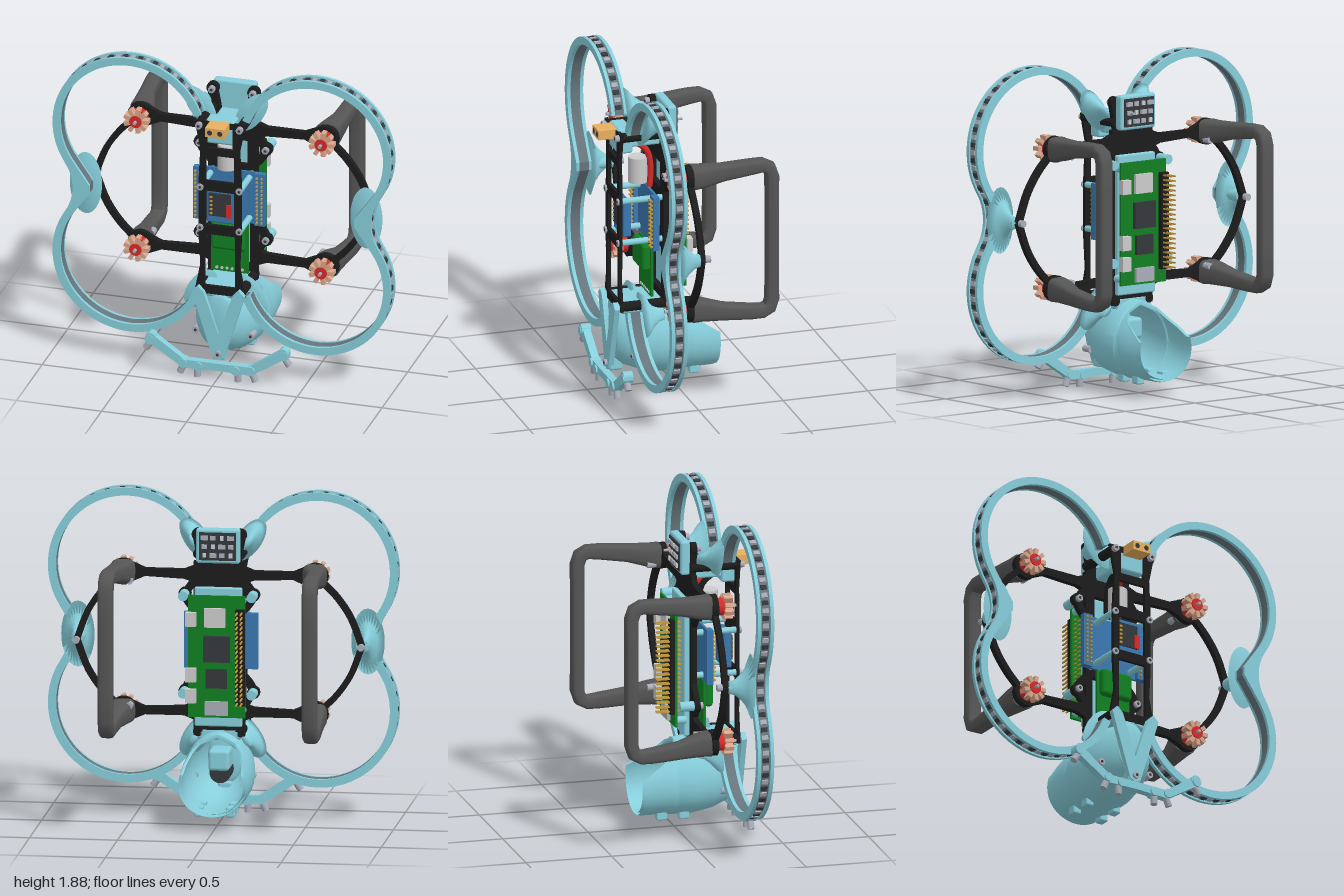
import * as THREE from 'three';
import { toCreasedNormals } from 'three/addons/utils/BufferGeometryUtils.js';
import { RoundedBoxGeometry } from 'three/addons/geometries/RoundedBoxGeometry.js';

const mat = (color, side = THREE.FrontSide) => new THREE.MeshStandardMaterial({ color, side });
const BLUE = mat(0x87cedb), SHELL = mat(0x87cedb, THREE.DoubleSide), BLACK = mat(0x1c1c1c);
const GRIP = mat(0x555555, THREE.DoubleSide), RED = mat(0xd62a2a), COPPER = mat(0xd9a58a);
const GREEN = mat(0x118022), BOARD = mat(0x3a78b0), GOLD = mat(0xc79a3a), ORANGE = mat(0xe8b060);
const STEEL = mat(0xa9acb8), WHITE = mat(0xdedede), DARK = mat(0x35383c), STRIP = mat(0x66757c);
const MID = 1.033, MX = 0.545, MY = 0.397; // arm symmetry height, motor offsets
const V2 = (x, y) => new THREE.Vector2(x, y), V3 = (x, y, z) => new THREE.Vector3(x, y, z);

export function createModel() {
  const root = new THREE.Group();
  const add = (name, geo, m, x = 0, y = 0, z = 0) => {
    const o = new THREE.Mesh(geo, m);
    o.name = name;
    o.position.set(x, y, z);
    root.add(o);
    return o;
  };
  const box = (name, m, x, y, z, w, h, d) => add(name, new THREE.BoxGeometry(w, h, d), m, x, y, z);
  const rbox = (name, m, x, y, z, w, h, d, r) => add(name, new RoundedBoxGeometry(w, h, d, 2, r), m, x, y, z);
  // Cylinder along z from z0 to z1
  const rod = (name, m, x, y, z0, z1, r, n = 20) =>
    add(name, new THREE.CylinderGeometry(r, r, z1 - z0, n).rotateX(Math.PI / 2), m, x, y, (z0 + z1) / 2);
  const bolt = (x, y, z0, z1) => {
    rod('bolt', STEEL, x, y, z0, z1, 0.02, 14);
    rod('boltSocket', DARK, x, y, z1, z1 + 0.002, 0.009, 6);
  };
  // Flat plate from outline points, with optional holes
  const plate = (name, m, pts, z0, z1, holes = []) => {
    const s = new THREE.Shape(pts);
    holes.forEach(h => s.holes.push(new THREE.Path(h)));
    const g = new THREE.ExtrudeGeometry(s, { depth: z1 - z0, bevelEnabled: false });
    return add(name, toCreasedNormals(g, 0.5), m, 0, 0, z0);
  };
  const rect = (x, y, w, h) => [V2(x - w / 2, y - h / 2), V2(x + w / 2, y - h / 2), V2(x + w / 2, y + h / 2), V2(x - w / 2, y + h / 2)];
  // Flat strip of even width along a smooth curve
  const strip = (name, m, pts, w, z0, z1, n = 14) => {
    const c = new THREE.SplineCurve(pts), a = [], b = [];
    for (let i = 0; i <= n; i++) {
      const p = c.getPoint(i / n), t = c.getTangent(i / n);
      a.push(V2(p.x - t.y * w / 2, p.y + t.x * w / 2));
      b.unshift(V2(p.x + t.y * w / 2, p.y - t.x * w / 2));
    }
    return plate(name, m, [...a, ...b], z0, z1);
  };
  // Skin over closed loops of points, with optional end caps
  const loft = (loops, caps = [true, true]) => {
    const n = loops[0].length, idx = [], pts = loops.flat();
    for (let i = 0; i < loops.length - 1; i++) for (let j = 0; j < n; j++) {
      const a = i * n + j, b = i * n + (j + 1) % n;
      idx.push(a, b, a + n, b, b + n, a + n);
    }
    [0, loops.length - 1].forEach((k, e) => {
      if (!caps[e]) return;
      const c = loops[k].reduce((s, p) => s.add(p), V3(0, 0, 0)).divideScalar(n);
      pts.push(c);
      for (let j = 0; j < n; j++) {
        const a = k * n + j, b = k * n + (j + 1) % n;
        e ? idx.push(a, b, pts.length - 1) : idx.push(b, a, pts.length - 1);
      }
    });
    const g = new THREE.BufferGeometry().setFromPoints(pts);
    g.setIndex(idx);
    g.computeVertexNormals();
    return toCreasedNormals(g, 0.8);
  };
  // Outer duct line, moved inward by d: upper arc, waist fillet, lower arc
  const ductLine = (s, d) => {
    const p = new THREE.Path(), q = 33.3 * Math.PI / 180, e = 160 * Math.PI / 180;
    p.absarc(MX, MID + MY, 0.45 - d, e, -q, true);
    p.absarc(1.147, MID, 0.27 + d, Math.PI - q, Math.PI + q, false);
    p.absarc(MX, MID - MY, 0.45 - d, q, -e, true);
    return p.getSpacedPoints(150).map(v => V2(v.x * s, v.y));
  };
  const innerLine = s => {
    const up = [];
    for (let i = 0; i <= 48; i++) {
      const a = (160 - 195 * i / 48) * Math.PI / 180;
      up.push(V2(s * (MX + 0.405 * Math.cos(a)), MID + MY + 0.405 * Math.sin(a)));
    }
    up.push(V2(s * 0.78, MID + 0.025));
    return [...up, ...up.map(v => V2(v.x, 2 * MID - v.y)).reverse()];
  };
  // Concave flared foot along z, wide at the duct
  const flare = (x, y, sx, r) => {
    const prof = [[0.035, 0.095], [0.045, 0.13], [0.075, 0.165], [0.115, 0.195], [r, 0.225]].map(p => V2(p[0], p[1]));
    const o = add('ductFoot', new THREE.LatheGeometry([V2(0, 0.095), ...prof, V2(0, 0.225)], 28).rotateX(Math.PI / 2).scale(1, 1, 1), SHELL, x, y, 0);
    o.scale.x = sx;
    return o;
  };

  for (const s of [1, -1]) {
    // Propeller guard with light strip
    const inner = innerLine(s).reverse();
    plate('ductRimFront', BLUE, [...ductLine(s, 0), ...inner], 0.295, 0.315);
    plate('ductRimBack', BLUE, [...ductLine(s, 0), ...inner], 0.22, 0.24);
    plate('ductWall', STRIP, [...ductLine(s, 0.012), ...inner], 0.24, 0.295);
    plate('ductLining', BLUE, [...ductLine(s, 0.03), ...inner.map(v => V2(v.x, v.y))], 0.24, 0.295);
    const line = ductLine(s, 0.009);
    for (let i = 2; i < 149; i += 2) {
      const t = line[i + 1].clone().sub(line[i - 1]);
      box('light', i % 4 ? DARK : STEEL, line[i].x, line[i].y, 0.268, 0.026, 0.012, 0.036).rotation.z = Math.atan2(t.y, t.x);
    }
    flare(s * 0.825, MID, 0.5, 0.19);
    bolt(s * 0.81, MID, 0.03, 0.06);
    rod('ductTab', BLUE, s * 0.81, MID, 0.095, 0.225, 0.035);

    // Rear handle
    const half = [[0.545, 0.4, 0.058, 0.07, 0.07], [0.55, 0.403, 0, 0.066, 0.064], [0.57, 0.42, -0.12, 0.047, 0.05],
      [0.58, 0.436, -0.28, 0.045, 0.043], [0.58, 0.44, -0.35, 0.044, 0.039], [0.58, 0.42, -0.39, 0.044, 0.039],
      [0.58, 0.37, -0.407, 0.044, 0.038], [0.58, 0.2, -0.407, 0.044, 0.037]];
    const path = [...half, ...half.map(p => [p[0], -p[1], ...p.slice(2)]).reverse()];
    const loops = path.map((p, i) => {
      const a = path[Math.max(i - 1, 0)], b = path[Math.min(i + 1, path.length - 1)];
      const l = Math.hypot(b[1] - a[1], b[2] - a[2]), ny = -(b[2] - a[2]) / l, nz = (b[1] - a[1]) / l, out = [];
      for (let k = 0; k < 24; k++) {
        const c = Math.cos(k * Math.PI / 12), d = Math.sin(k * Math.PI / 12);
        const u = Math.sign(c) * Math.abs(c) ** 0.55 * p[3], v = Math.sign(d) * Math.abs(d) ** 0.55 * p[4];
        out.push(V3(s * (p[0] + u), MID + p[1] + ny * v, p[2] + nz * v));
      }
      return out;
    });
    add('handle', loft(loops), GRIP);

    for (const k of [1, -1]) {
      const y = MID + k * MY, P = (px, dy) => V2(s * px, MID + k * dy);
      flare(s * 0.15, MID + k * 0.565, 0.5, 0.14).rotation.z = -s * k * 0.6;
      // Arm, motor mount and curved brace
      plate('arm', BLACK, [P(0.1, 0.33), P(0.2, 0.365), P(0.42, 0.375), P(0.5, 0.34), P(0.5, 0.455), P(0.42, 0.42), P(0.2, 0.42), P(0.1, 0.46)], 0.062, 0.095);
      rod('motorMount', BLACK, s * MX, y, 0.062, 0.097, 0.075, 28);
      strip('armBrace', BLACK, [P(0.58, 0.37), P(0.67, 0.28), P(0.75, 0.16), P(0.81, 0)], 0.035, 0.062, 0.095);
      // Motor with stator teeth
      rod('motorBase', RED, s * MX, y, 0.095, 0.14, 0.05);
      rod('motorHub', RED, s * MX, y, 0.14, 0.192, 0.036);
      rod('motorShaft', STEEL, s * MX, y, 0.19, 0.215, 0.01, 10);
      for (let i = 0; i < 9; i++) {
        const a = i * Math.PI * 2 / 9;
        box('statorTooth', COPPER, s * MX + 0.051 * Math.cos(a), y + 0.051 * Math.sin(a), 0.16, 0.045, 0.024, 0.05).rotation.z = a;
      }
      bolt(s * 0.5, MID + k * 0.36, -0.02, 0.03);
      // Frame ears, spacers and bolts
      rod('frameEar', BLACK, s * 0.195, MID + k * 0.28, 0.062, 0.095, 0.036);
      rod('earSpacer', BLUE, s * 0.195, MID + k * 0.28, -0.02, 0.062, 0.028);
      strip('earLink', BLACK, [P(0.12, 0.17), P(0.19, 0.27), P(0.12, 0.38)], 0.045, 0.062, 0.095);
      bolt(s * 0.195, MID + k * 0.28, 0.095, 0.115);
      rod('standoff', BLACK, s * 0.12, MID + k * 0.51, 0.06, 0.35, 0.028);
      bolt(s * 0.12, MID + k * 0.51, 0.35, 0.375);
      rod('boardSpacer', BLUE, s * 0.115, MID + k * 0.125, 0.095, 0.33, 0.018);
      bolt(s * 0.115, MID + k * 0.125, 0.35, 0.36);
    }
    strip('topProng', BLACK, [V2(s * 0.1, 1.4), V2(s * 0.1, 1.52), V2(s * 0.125, 1.66)], 0.055, 0.062, 0.095);
    rod('prongEnd', BLACK, s * 0.12, 1.655, 0.062, 0.095, 0.036);
    bolt(s * 0.12, 1.655, 0.095, 0.12);
    // Pin headers of the middle board
    box('pinHeader', BOARD, s * 0.18, MID, 0.16, 0.06, 0.32, 0.03);
    for (let i = 0; i < 12; i++) for (const dx of [0.167, 0.195]) box('headerPin', GOLD, s * dx, 0.895 + i * 0.025, 0.18, 0.01, 0.01, 0.02);
    // Lower strap, landing bar half and its bolts
    plate('strapLeg', BLUE, [V2(s * 0.155, 0.52), V2(s * 0.12, 0.555), V2(s * 0.085, 0.52), V2(0, 0.27), V2(0, 0.11), V2(s * 0.035, 0.13)], 0.355, 0.385);
    plate('landingBar', BLUE, [V2(0, 0.055), V2(s * 0.2, 0.05), V2(s * 0.41, 0.185), V2(s * 0.385, 0.235), V2(s * 0.19, 0.1), V2(0, 0.1)], 0.365, 0.41);
    rod('barEnd', BLUE, s * 0.39, 0.21, 0.36, 0.415, 0.03);
    for (const [x, y, a] of [[0.405, 0.16, 0.6], [0.21, 0.04, 0.4], [0.12, 0.03, 0]]) {
      const o = add('barFoot', new THREE.CylinderGeometry(0.02, 0.02, 0.06, 12), STEEL, s * x, y, 0.39);
      o.rotation.z = s * a;
      rod('barBoss', BLUE, s * (x - 0.01), y + 0.04, 0.36, 0.42, 0.026);
    }
    bolt(s * 0.162, 0.235, 0.23, 0.29);
  }

  // Rear and front frame plates
  plate('rearPlate', BLACK, rect(0, 1.0, 0.29, 1.0), 0.062, 0.095, [rect(0, 1.28, 0.17, 0.15), rect(0, MID, 0.17, 0.2), rect(0, 0.72, 0.2, 0.26)]);
  plate('frontPlate', BLACK, [V2(-0.15, 0.5), V2(0.15, 0.5), V2(0.115, 0.68), V2(0.125, 0.85), V2(0.125, 1.2), V2(0.115, 1.4), V2(0.15, 1.57),
    V2(-0.15, 1.57), V2(-0.115, 1.4), V2(-0.125, 1.2), V2(-0.125, 0.85), V2(-0.115, 0.68)], 0.33, 0.35,
    [rect(0, MID, 0.17, 0.21), rect(0, 0.71, 0.18, 0.32), rect(0, 1.28, 0.17, 0.16), rect(0, 1.47, 0.15, 0.13)]);

  // Middle board with chips
  box('middleBoard', BOARD, 0, MID, 0.145, 0.42, 0.32, 0.015);
  rbox('sensorCase', BOARD, 0, MID, 0.29, 0.18, 0.21, 0.05, 0.01);
  box('sensorChip', DARK, -0.01, MID + 0.01, 0.318, 0.13, 0.14, 0.01);
  box('sensorSwitch', RED, 0.045, MID - 0.02, 0.326, 0.03, 0.08, 0.012);
  for (let i = 0; i < 5; i++) box('sensorPad', GOLD, -0.06, 0.99 + i * 0.025, 0.325, 0.016, 0.012, 0.006);

  // Lower front board
  box('lowerBoard', GREEN, 0, 0.715, 0.15, 0.22, 0.31, 0.015);
  rbox('lowerModule', GREEN, 0, 0.79, 0.18, 0.2, 0.16, 0.05, 0.02);
  for (let i = 0; i < 6; i++) rod('lowerPad', WHITE, -0.075 + i * 0.03, 0.58, 0.157, 0.162, 0.009, 10);

  // Capacitor, power wires and connector
  add('capacitor', new THREE.CylinderGeometry(0.055, 0.055, 0.15, 24), WHITE, 0, 1.3, 0.2);
  [[0.03, RED], [-0.03, BLACK]].forEach(([x, m]) => add('powerWire', new THREE.TubeGeometry(new THREE.CatmullRomCurve3(
    [V3(x, 1.2, 0.14), V3(x, 1.32, 0.135), V3(x, 1.42, 0.16), V3(x, 1.5, 0.26)]), 20, 0.018, 8), m));
  rbox('connectorHolder', BLUE, 0, 1.505, 0.3, 0.17, 0.15, 0.09, 0.015);
  rbox('connectorShelf', BLUE, 0, 1.5, 0.17, 0.15, 0.08, 0.2, 0.015);
  box('powerConnector', ORANGE, 0, 1.547, 0.395, 0.115, 0.055, 0.11);
  for (const x of [-0.03, 0.03]) rod('connectorHole', DARK, x, 1.547, 0.45, 0.452, 0.015, 12);

  // Rear tray with receiver at the top
  rbox('receiverTray', BLUE, 0, 1.6, 0.035, 0.25, 0.2, 0.055, 0.015);
  box('receiverBoard', DARK, 0, 1.6, 0.005, 0.21, 0.16, 0.01);
  for (let i = 0; i < 12; i++) box('receiverPart', i % 3 ? STEEL : WHITE, -0.075 + (i % 4) * 0.05, 1.55 + Math.floor(i / 4) * 0.05, -0.004, 0.02 + (i % 3) * 0.01, 0.025, 0.014);
  add('receiverStub', new THREE.CylinderGeometry(0.008, 0.008, 0.05, 10).rotateX(Math.PI / 2), STEEL, 0.07, 1.6, -0.015);

  // Rear computer board
  rbox('boardCarrier', BLUE, 0, 0.96, 0.04, 0.27, 0.8, 0.035, 0.01);
  box('computerBoard', GREEN, 0, 0.975, -0.03, 0.325, 0.7, 0.015);
  for (const x of [-0.14, 0.14]) for (const y of [0.66, 1.29]) rod('boardPost', BLUE, x, y, -0.025, 0.03, 0.022);
  box('pinStrip', BLACK, -0.135, 0.975, -0.05, 0.055, 0.55, 0.028);
  for (let i = 0; i < 20; i++) for (const x of [-0.148, -0.122]) box('boardPin', GOLD, x, 0.715 + i * 0.0274, -0.07, 0.008, 0.008, 0.14);
  for (const [m, x, y, w, h, d] of [[DARK, 0, 1.02, 0.15, 0.15, 0.02], [DARK, 0, 0.85, 0.12, 0.11, 0.016], [WHITE, 0.01, 1.2, 0.12, 0.11, 0.022],
    [WHITE, 0.145, 1.19, 0.06, 0.08, 0.035], [WHITE, 0.145, 0.87, 0.06, 0.08, 0.035], [WHITE, 0.145, 0.75, 0.06, 0.08, 0.035], [STEEL, 0, 0.68, 0.13, 0.08, 0.02]])
    box('boardChip', m, x, y, -0.037 - d / 2, w, h, d);

  // Camera cup: [z, half width, bottom, top, rim height]
  const cup = [[0.35, 0.1, 0.18, 0.5, 9], [0.3, 0.145, 0.14, 0.51, 9], [0.2, 0.185, 0.1, 0.53, 9], [0.08, 0.2, 0.08, 0.53, 9],
    [-0.01, 0.2, 0.08, 0.52, 9], [-0.03, 0.2, 0.08, 0.52, 0.48], [-0.07, 0.2, 0.085, 0.51, 0.43], [-0.15, 0.196, 0.085, 0.5, 0.38], [-0.21, 0.19, 0.085, 0.49, 0.34], [-0.23, 0.19, 0.09, 0.49, 0.33]];
  const cupLoops = cup.map(([z, hw, b, t, rim]) => {
    const cy = (b + t) / 2, ry = (t - b) / 2, out = [];
    const a = rim > t ? Math.PI : Math.acos(THREE.MathUtils.clamp((cy - rim) / ry, -1, 1));
    for (const [f, dir] of [[1, 1], [0.92, -1]]) for (let i = 0; i <= 36; i++) {
      const u = dir * a * (i / 18 - 1), v = -Math.cos(u);
      out.push(V3(Math.sin(u) * hw * f * (1 - 0.12 * v), cy + v * ry * f, z));
    }
    return out;
  });
  add('cameraCup', loft(cupLoops, [false, false]), SHELL);
  const nose = add('cupNose', new THREE.SphereGeometry(1, 28, 16), BLUE, 0, 0.335, 0.335);
  nose.scale.set(0.1, 0.165, 0.03);
  rbox('cupNeck', BLUE, 0, 0.51, 0.2, 0.25, 0.07, 0.28, 0.02);
  rbox('cameraMount', BLUE, 0, 0.36, 0.12, 0.12, 0.12, 0.16, 0.02);
  rod('cameraBody', DARK, 0, 0.28, 0.1, 0.24, 0.06);
  for (const z of [0.03, -0.1]) for (const s of [1, -1]) rbox('cupClip', BLUE, s * 0.09, 0.1, z, 0.05, 0.06, 0.06, 0.01);
  rbox('strapTip', BLUE, 0, 0.15, 0.34, 0.08, 0.08, 0.08, 0.015);
  bolt(0, 0.15, 0.385, 0.4);
  return root;
}
